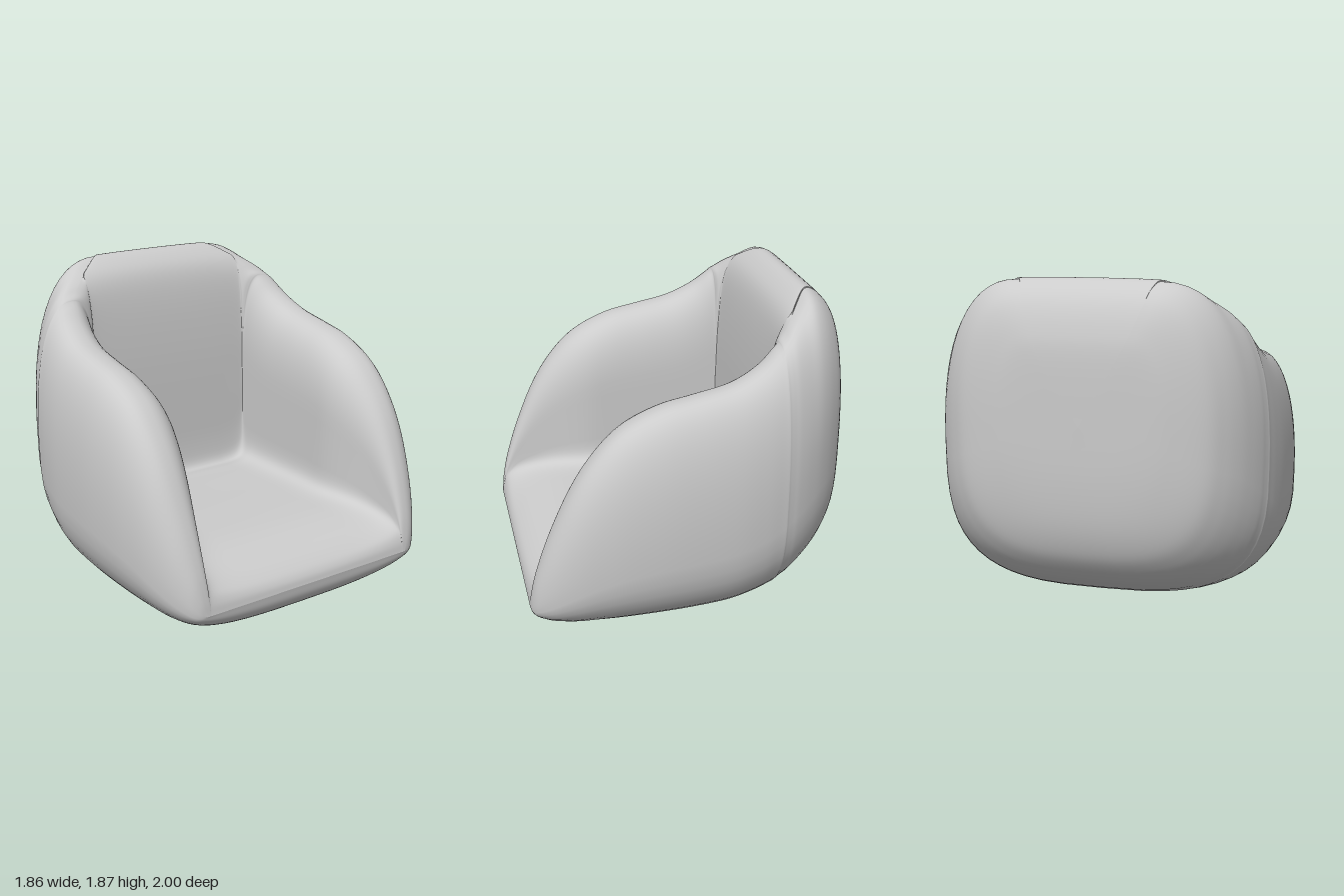
import * as THREE from 'three';

// Cross-section keys along x, from the back (-x) to the open front (+x):
// [x, underside y, arm ridge y, inner floor y, outer half width, ridge z]
const KEYS = [
  [-0.93, 1.1, 1.1, 1.1, 0, 0],
  [-0.925, 0.8, 1.45, 1.45, 0.36, 0.2],
  [-0.9, 0.56, 1.61, 1.61, 0.52, 0.28],
  [-0.85, 0.39, 1.74, 1.74, 0.67, 0.33],
  [-0.78, 0.28, 1.82, 1.825, 0.76, 0.36],
  [-0.7, 0.2, 1.85, 1.865, 0.83, 0.4],
  [-0.62, 0.145, 1.79, 1.825, 0.88, 0.5],
  [-0.55, 0.105, 1.73, 1.73, 0.915, 0.6],
  // inner face of the backrest drops steeply to the seat
  [-0.51, 0.09, 1.69, 1.55, 0.93, 0.65],
  [-0.485, 0.08, 1.67, 1.25, 0.94, 0.67],
  [-0.475, 0.075, 1.66, 0.9, 0.945, 0.68],
  [-0.468, 0.07, 1.65, 0.6, 0.947, 0.69],
  [-0.44, 0.062, 1.625, 0.46, 0.952, 0.7],
  // seat and arms
  [-0.35, 0.04, 1.55, 0.45, 0.97, 0.74],
  [-0.2, 0.015, 1.475, 0.45, 0.99, 0.77],
  [0, 0.004, 1.43, 0.45, 1, 0.78],
  [0.2, 0, 1.385, 0.45, 1, 0.78],
  [0.4, 0, 1.29, 0.445, 0.985, 0.78],
  [0.55, 0.006, 1.15, 0.435, 0.96, 0.78],
  [0.68, 0.018, 0.96, 0.41, 0.925, 0.77],
  [0.8, 0.05, 0.7, 0.365, 0.87, 0.75],
  [0.88, 0.1, 0.47, 0.31, 0.81, 0.735],
  [0.915, 0.155, 0.32, 0.265, 0.76, 0.725],
  [0.927, 0.22, 0.22, 0.22, 0.71, 0.71],
];
const STEPS = 5; // rows between two keys
const N = 14;    // points per quarter curve

// Quarter superellipse around (cz, cy); runs from the y axis to the z axis, or back
function quarter(cz, cy, rz, ry, n, reverse = false) {
  const pts = [];
  for (let k = 0; k < N; k++) {
    const a = ((reverse ? N - k : k) / N) * Math.PI / 2;
    pts.push([
      cz + rz * Math.pow(Math.max(0, Math.sin(a)), 2 / n),
      cy + ry * Math.pow(Math.max(0, Math.cos(a)), 2 / n),
    ]);
  }
  return pts;
}

// Closed U-shaped section: under the base, up the outside, over the arm, down to the seat
function section(x, base, top, floor, width, ridge) {
  const mid = (base + top) / 2;
  const inMid = (top + floor) / 2;
  const inner = Math.min(ridge, 0.55 + 0.14 * THREE.MathUtils.smoothstep(x, 0.3, 0.93));
  const boxy = 2 + 8 * THREE.MathUtils.smoothstep(top - floor, 0, 0.6);
  const half = [
    ...quarter(0, mid, width, base - mid, 3.1),                           // belly
    ...quarter(ridge, mid, width - ridge, top - mid, 2.3, true),          // outer side
    ...quarter(ridge, inMid, inner - ridge, top - inMid, 2.5),            // inner roll
    ...quarter(0, inMid, inner, floor - inMid, boxy, true),               // wall and seat
    [0, floor],
  ];
  const mirrored = half.slice(1, -1).reverse().map(([z, y]) => [-z, y]);
  return [...half, ...mirrored].map(([z, y]) => [x, y, z]);
}

function loftShell() {
  const cols = KEYS[0].length;
  const spline = new THREE.CubicInterpolant(
    KEYS.map((_, i) => i), KEYS.flat(), cols, new Float32Array(cols));
  const rows = (KEYS.length - 1) * STEPS;
  const positions = [], index = [];
  let ring = 0;
  for (let i = 0; i <= rows; i++) {
    const key = i === rows ? KEYS[KEYS.length - 1] : spline.evaluate(i / STEPS);
    const pts = section(...key);
    ring = pts.length;
    for (const p of pts) positions.push(...p);
  }
  for (let i = 0; i < rows; i++) {
    for (let j = 0; j < ring; j++) {
      const k = (j + 1) % ring;
      const a = i * ring + j, b = a + ring, c = (i + 1) * ring + k, d = i * ring + k;
      index.push(a, b, c, a, c, d);
    }
  }
  const geometry = new THREE.BufferGeometry();
  geometry.setAttribute('position', new THREE.Float32BufferAttribute(positions, 3));
  geometry.setIndex(index);
  geometry.computeVertexNormals();
  return geometry;
}

export function createModel() {
  const group = new THREE.Group();
  group.name = 'armchair';
  // Seat, arms and backrest are one continuous upholstered body
  const body = new THREE.Mesh(
    loftShell(), new THREE.MeshStandardMaterial({ color: 0xcccccc, side: THREE.DoubleSide }));
  body.name = 'upholsteredBody';
  group.add(body);
  return group;
}
